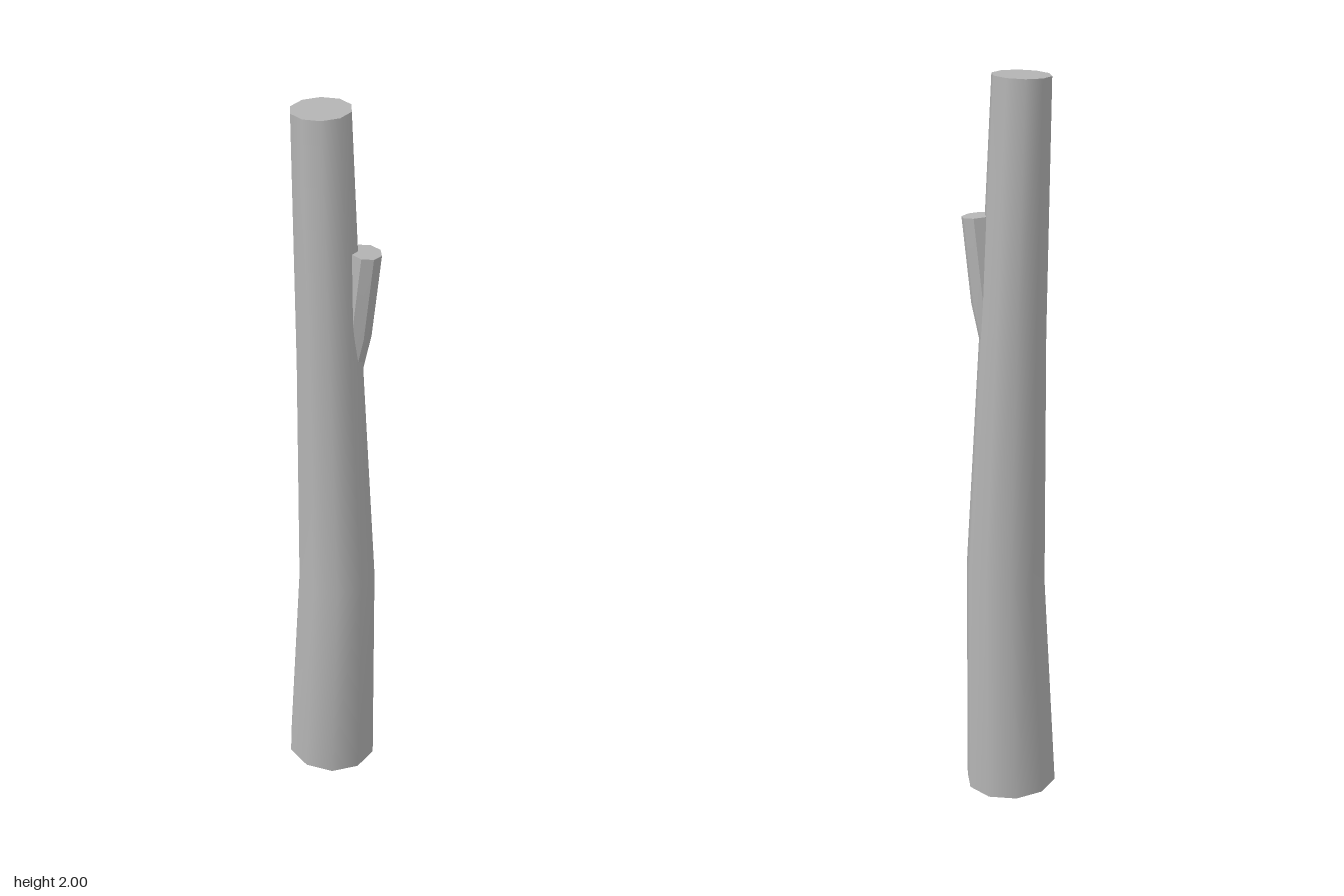
import * as THREE from 'three';
import { toCreasedNormals } from 'three/addons/utils/BufferGeometryUtils.js';

// Capped tube through rings of [centre x, centre y, centre z, radius, slope along x], bottom to top.
function limb(name, rings, sides, crease, material) {
  const last = rings.length - 1;
  const geometry = new THREE.CylinderGeometry(1, 1, 1, sides, last, false, Math.PI / 2);
  const p = geometry.attributes.position;
  for (let i = 0; i < p.count; i++) {
    const [x, y, z, r, slope] = rings[Math.round((p.getY(i) + 0.5) * last)];
    const dx = p.getX(i) * r;
    p.setXYZ(i, x + dx, y + slope * dx, z + p.getZ(i) * r);
  }
  const mesh = new THREE.Mesh(toCreasedNormals(geometry, crease), material);
  mesh.name = name;
  return mesh;
}

export function createModel() {
  const group = new THREE.Group();
  group.name = 'bareTreeTrunk';
  const bark = new THREE.MeshStandardMaterial({ color: 0xb4b4b4 });
  bark.name = 'greyBark';

  // Gently bent, tapering trunk
  group.add(limb('trunk', [
    [-0.003, 0.005, 0, 0.127, -0.04],
    [0.013, 0.64, 0.004, 0.109, 0.15],
    [-0.006, 1.33, 0.009, 0.089, 0.05],
    [-0.03, 1.998, 0, 0.077, 0.03],
  ], 10, 0.75, bark));

  // Short cut-off branch growing out of the left side
  group.add(limb('branchStub', [
    [0.02, 1.2, 0, 0.038, -0.2],
    [0.062, 1.41, 0, 0.041, -0.15],
    [0.086, 1.637, 0, 0.041, -0.1],
  ], 8, 0.5, bark));

  return group;
}
